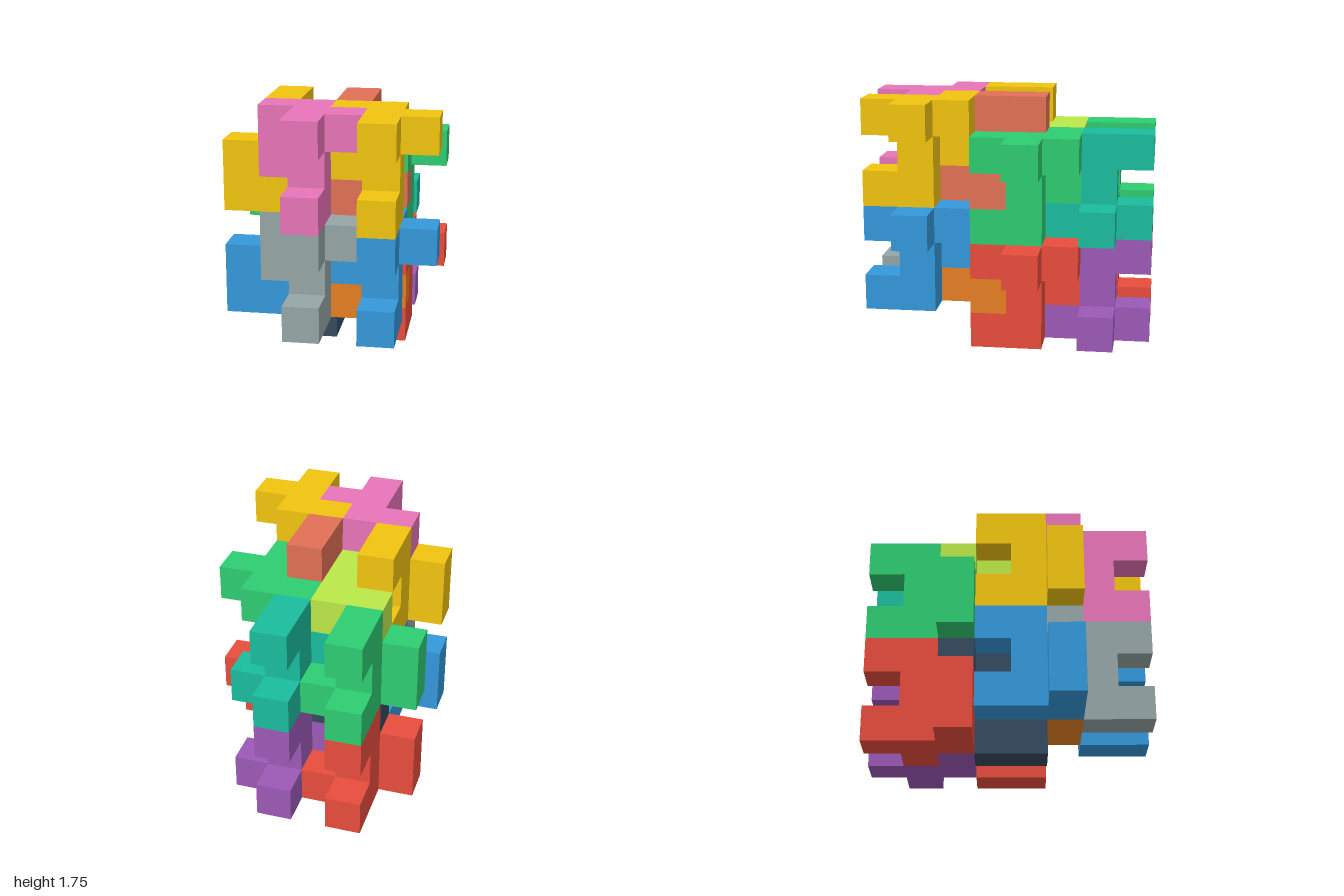
import * as THREE from 'three';
import { mergeGeometries } from 'three/addons/utils/BufferGeometryUtils.js';

const U = 0.25; // edge of one cube cell

// Nine cells [x, y, z] of the interlocking block; every block is this shape, some turned over
const UPRIGHT = [
  [0, 2, 2], [0, 2, 1], [1, 2, 1], [0, 2, 0], [-1, 2, 0], // cap
  [-1, 1, 0], [0, 1, 1],                                  // uprights
  [0, 0, 1], [0, 0, 2],                                   // foot
];
const FLIPPED = UPRIGHT.map(([x, y, z]) => [x, 2 - y, 2 - z]);

const DIRECTIONS = [[1, 0, 0], [-1, 0, 0], [0, 1, 0], [0, -1, 0], [0, 0, 1], [0, 0, -1]];

// One square for each cell side that is not against another cell of the same block
function blockGeometry(cells) {
  const filled = new Set(cells.map(String));
  const forward = new THREE.Vector3(0, 0, 1);
  const faces = [];
  for (const [x, y, z] of cells) {
    for (const [dx, dy, dz] of DIRECTIONS) {
      if (filled.has(String([x + dx, y + dy, z + dz]))) continue;
      const turn = new THREE.Quaternion();
      if (dz === -1) turn.setFromAxisAngle(new THREE.Vector3(0, 1, 0), Math.PI);
      else turn.setFromUnitVectors(forward, new THREE.Vector3(dx, dy, dz));
      faces.push(new THREE.PlaneGeometry(U, U)
        .applyQuaternion(turn)
        .translate((x + dx / 2) * U, (y + dy / 2) * U, (z + dz / 2) * U));
    }
  }
  return mergeGeometries(faces);
}

// Blocks of one tier: name, turned over or not, cell position, colour in lower and upper tier
const BLOCKS = [
  ['backRightBlock', true, [1, 0, 0], 0xe74c3c, 0x2ecc71],
  ['backLeftBlock', true, [3, 0, 0], 0x9b59b6, 0x1abc9c],
  ['innerRightBlock', false, [2, 0, 2], 0x34495e, 0xbbe848],
  ['innerLeftBlock', false, [4, 0, 2], 0xe74c3c, 0x2ecc71],
  ['middleRightBlock', true, [1, 1, 3], 0x3498db, 0xf1c40f],
  ['middleLeftBlock', true, [3, 1, 3], 0xe67e22, 0xe17055],
  ['frontRightBlock', false, [2, 1, 5], 0x95a5a6, 0xe874b8],
  ['frontLeftBlock', false, [4, 1, 5], 0x3498db, 0xf1c40f],
];

export function createModel() {
  const model = new THREE.Group();
  model.name = 'interlockingBlocks';
  const upright = blockGeometry(UPRIGHT);
  const flipped = blockGeometry(FLIPPED);

  // Two identical tiers, three cells apart
  ['lowerTier', 'upperTier'].forEach((tierName, t) => {
    const tier = new THREE.Group();
    tier.name = tierName;
    tier.position.y = t * 3 * U;
    for (const [name, isFlipped, [i, j, k], ...colors] of BLOCKS) {
      const material = new THREE.MeshStandardMaterial({ color: colors[t] });
      const block = new THREE.Mesh(isFlipped ? flipped : upright, material);
      block.name = name;
      block.position.set((i - 2.5) * U, (j + 0.5) * U, (k - 3.5) * U);
      tier.add(block);
    }
    model.add(tier);
  });
  return model;
}
